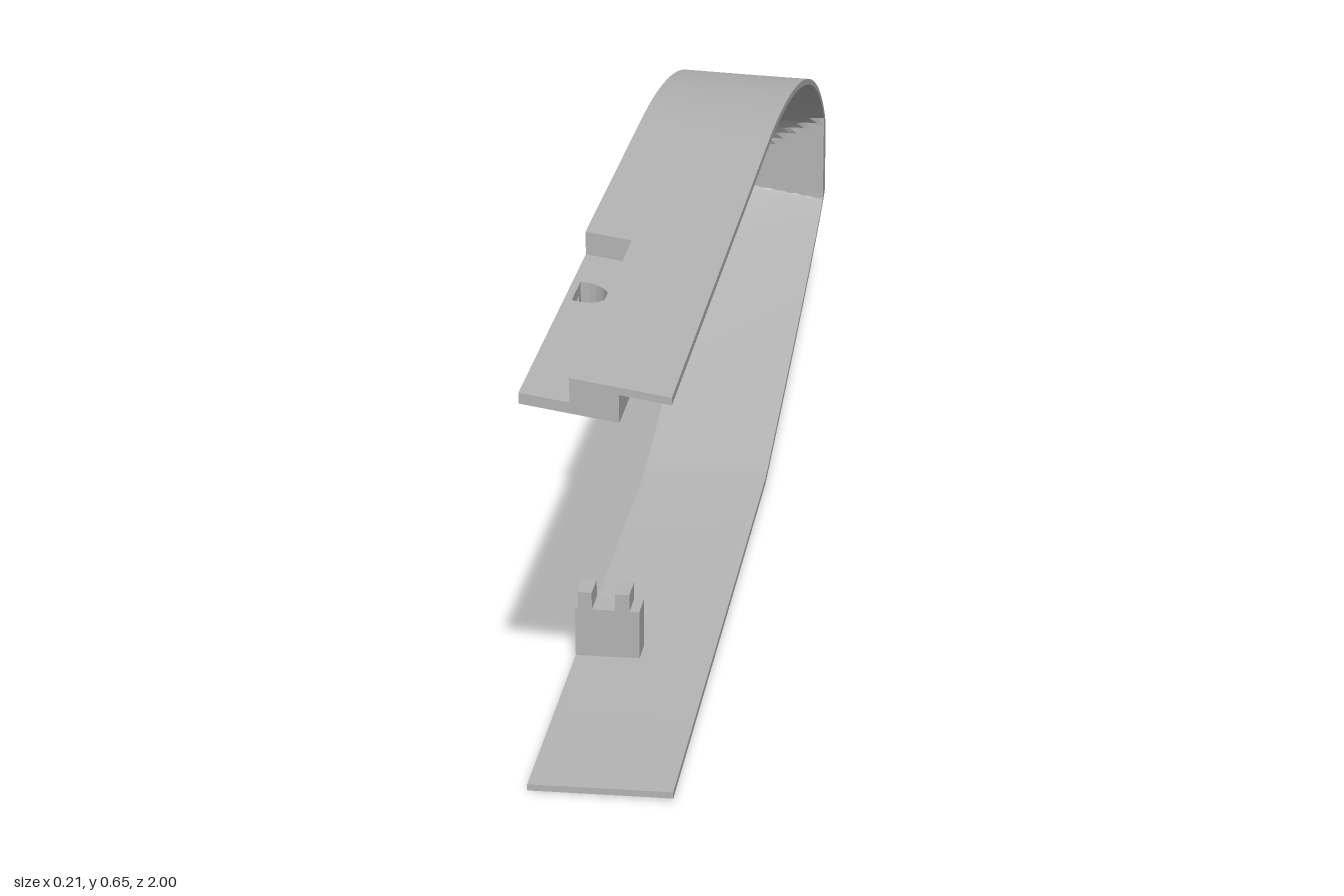
import * as THREE from 'three';
import { toCreasedNormals } from 'three/addons/utils/BufferGeometryUtils.js';

const HALF = 0.105;    // half width of the band
const SLOPE = -0.147;  // sideways tilt of the upper arm
const BEND = -0.07;    // z where the arms start to curve
const STEP = 0.47;     // z where the recess begins
const WALL = 0.011;

// Side profile of the band; f runs 0..1 across the width, d is the inset
function profile(f, d) {
  const top = 0.652 - 0.031 * f - d, bottom = 0.004 * f + d * 0.9;
  const tip = -0.95 - 0.09 * f + d, tipY = 0.23;
  const limit = d > 0 ? -0.965 : -1; // flat end
  const pts = [[STEP, top]];
  for (let i = 0; i <= 48; i++) {
    const a = (i / 48) * Math.PI / 2;
    pts.push([BEND + (tip - BEND) * Math.sin(a), tipY + (top - tipY) * Math.cos(a)]);
  }
  const lower = new THREE.CubicBezierCurve(
    new THREE.Vector2(tip, tipY), new THREE.Vector2(tip, 0.187 + d * 0.7),
    new THREE.Vector2(-0.6, 0.1 + d), new THREE.Vector2(BEND, bottom));
  lower.getPoints(36).slice(1).forEach((p) => pts.push([p.x, p.y]));
  pts.push([1, bottom]);
  return pts.map(([z, y]) => [Math.max(z, limit), y]);
}

// Curved band lofted across its width
function bandGeometry() {
  const N = 16, pos = [];
  const outer = [], inner = [];
  for (let j = 0; j <= N; j++) {
    const f = j / N, x = -HALF + 2 * HALF * f;
    outer.push(profile(f, 0).map(([z, y]) => [x, y, z]));
    inner.push(profile(f, WALL).map(([z, y]) => [x, y, z]));
  }
  const quad = (a, b, c, d) => pos.push(...a, ...b, ...c, ...a, ...c, ...d);
  const last = outer[0].length - 1;
  for (let i = 0; i < last; i++) {
    for (let j = 0; j < N; j++) {
      quad(outer[j][i], outer[j + 1][i], outer[j + 1][i + 1], outer[j][i + 1]);
      quad(inner[j][i], inner[j][i + 1], inner[j + 1][i + 1], inner[j + 1][i]);
    }
    quad(outer[N][i], inner[N][i], inner[N][i + 1], outer[N][i + 1]);
    quad(outer[0][i], outer[0][i + 1], inner[0][i + 1], inner[0][i]);
  }
  for (let j = 0; j < N; j++) {
    quad(outer[j][0], inner[j][0], inner[j + 1][0], outer[j + 1][0]);
    quad(outer[j][last], outer[j + 1][last], inner[j + 1][last], inner[j][last]);
  }
  const g = new THREE.BufferGeometry();
  g.setAttribute('position', new THREE.Float32BufferAttribute(pos, 3));
  return toCreasedNormals(g, 0.3);
}

function box(x0, x1, y0, y1, z0, z1) {
  return new THREE.BoxGeometry(x1 - x0, y1 - y0, z1 - z0)
    .translate((x0 + x1) / 2, (y0 + y1) / 2, (z0 + z1) / 2);
}

// Lean vertices above minY with the upper arm
function tilt(g, minY = -1) {
  const p = g.attributes.position;
  for (let i = 0; i < p.count; i++) {
    if (p.getY(i) > minY) p.setY(i, p.getY(i) + SLOPE * p.getX(i));
  }
  g.computeVertexNormals();
  return toCreasedNormals(g, 0.5);
}

// Plan outline (x, -z) raised from y0 to y1
function slab(shape, y0, y1) {
  return new THREE.ExtrudeGeometry(shape, { depth: y1 - y0, bevelEnabled: false, curveSegments: 24 })
    .rotateX(-Math.PI / 2).translate(0, y0, 0);
}

export function createModel() {
  const model = new THREE.Group();
  const grey = new THREE.MeshStandardMaterial({ color: 0xb4b4b4 });
  grey.name = 'grey';
  const add = (name, geometry) => {
    const m = new THREE.Mesh(geometry, grey);
    m.name = name;
    model.add(m);
  };

  add('curvedBand', bandGeometry());

  // Upper arm: narrowed plate beside the recess, with a rib underneath
  const under = 0.5846, floorTop = 0.6006, top = 0.6366, ribX = 0.033, slotX = -0.035;
  add('upperPlate', tilt(box(slotX, HALF, top - WALL, top, STEP, 1)));
  add('upperRib', tilt(box(slotX, ribX, under, top - 0.005, 0.41, 1)));
  add('recessEnd', tilt(box(-HALF, slotX, under, top - 0.005, 0.41, STEP)));

  // Recess floor with a D-shaped hole
  const cz = -0.615, holeX = -0.085, holeR = 0.038, holeA = 1.81;
  const floor = new THREE.Shape();
  floor.moveTo(-HALF, -1).lineTo(slotX, -1).lineTo(slotX, -STEP).lineTo(-HALF, -STEP).closePath();
  const hole = new THREE.Path();
  hole.absarc(holeX, cz, holeR, -holeA, holeA, false);
  hole.closePath();
  floor.holes.push(hole);
  add('recessFloor', tilt(slab(floor, under, floorTop)));

  // Socket under the hole: closed base and a wall with a side window
  const knobX = -0.082, knobR = 0.057, knobA = 1.986, win = 0.023;
  const base = new THREE.Shape();
  base.absarc(knobX, cz, knobR, -knobA, knobA, false);
  base.closePath();
  add('socketBase', toCreasedNormals(slab(base, 0.56, 0.57), 0.5));
  const wall = new THREE.Shape();
  wall.absarc(knobX, cz, knobR, -knobA, knobA, false);
  wall.lineTo(-HALF, cz + win).lineTo(-0.094, cz + win);
  wall.absarc(holeX, cz, holeR, holeA, -holeA, true);
  wall.lineTo(-0.094, cz - win).lineTo(-HALF, cz - win).closePath();
  add('socketWall', tilt(slab(wall, 0.57, under + 0.001), 0.575));

  // Catch on the lower arm with two prongs
  add('catchBlock', box(-HALF, -0.006, 0.005, 0.09, 0.56, 0.605));
  for (const x of [-0.101, -0.043]) {
    add('catchProng', box(x, x + 0.022, 0.085, 0.118, 0.56, 0.605));
  }
  return model;
}
